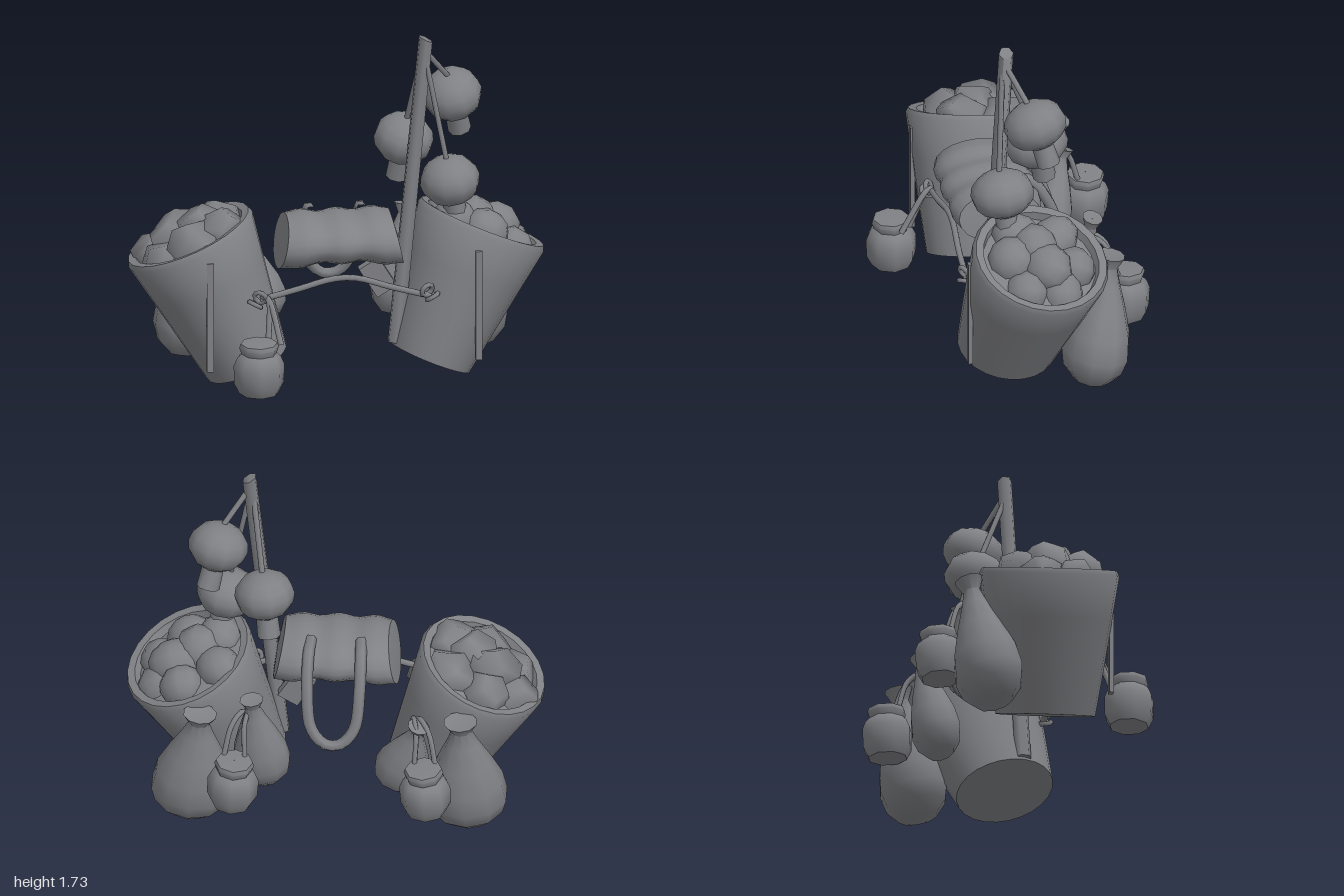
import * as THREE from 'three';
import { toCreasedNormals } from 'three/addons/utils/BufferGeometryUtils.js';

const V = (x, y, z) => new THREE.Vector3(x, y, z);

export function createModel() {
  const model = new THREE.Group();
  const grey = new THREE.MeshStandardMaterial({ color: 0x808185 });
  grey.name = 'clay grey';

  const add = (name, geo, parent = model) => {
    const mesh = new THREE.Mesh(geo, grey);
    mesh.name = name;
    parent.add(mesh);
    return mesh;
  };
  const lathe = (points, sides, crease = 0.9) =>
    toCreasedNormals(new THREE.LatheGeometry(points.map(p => new THREE.Vector2(...p)), sides), crease);
  const tube = (name, pts, r, segs = 8) =>
    add(name, new THREE.TubeGeometry(new THREE.CatmullRomCurve3(pts.map(p => V(...p))), segs, r, 6));
  // Stand a y-up object on point a, leaning towards b
  const lean = (obj, a, b) => {
    obj.position.set(...a);
    obj.quaternion.setFromUnitVectors(V(0, 1, 0), V(...b).sub(V(...a)).normalize());
    return obj;
  };

  // Basket: oval vessel with a thick rim and mounded filling, narrower at the foot
  const basketGeo = () => {
    const g = new THREE.LatheGeometry([[0.001, 0], [0.24, 0], [0.275, 0.23], [0.307, 0.46], [0.335, 0.67],
      [0.322, 0.695], [0.285, 0.69], [0.275, 0.65], [0.16, 0.68], [0.001, 0.69]].map(p => new THREE.Vector2(...p)), 24);
    const p = g.attributes.position;
    for (let i = 0; i < p.count; i++) {
      p.setX(i, p.getX(i) * THREE.MathUtils.lerp(0.86, 0.97, p.getY(i) / 0.69));
    }
    return toCreasedNormals(g, 0.8);
  };

  // Contents: x (outwards), y, z, radius, z stretch inside each basket
  const lumps = [
    [-0.15, 0.665, 0.10, 0.11, 1.1], [-0.15, 0.65, -0.09, 0.11, 1.2], [0.0, 0.665, 0.14, 0.12, 1.0],
    [0.05, 0.69, -0.02, 0.12, 1.2], [0.03, 0.66, -0.16, 0.11, 1.0], [0.16, 0.63, 0.08, 0.11, 1.0],
    [0.16, 0.63, -0.09, 0.11, 1.2], [-0.06, 0.69, 0.03, 0.12, 1.0],
  ];

  const sackProfile = [[0.001, 0], [0.09, 0.015], [0.145, 0.08], [0.165, 0.16], [0.152, 0.27],
    [0.11, 0.4], [0.065, 0.52], [0.04, 0.6], [0.068, 0.66], [0.001, 0.65]];
  const jarProfile = [[0.001, 0], [0.095, 0], [0.12, 0.05], [0.122, 0.14], [0.105, 0.18],
    [0.085, 0.2], [0.095, 0.23], [0.088, 0.25], [0.001, 0.255]];

  for (const s of [-1, 1]) {
    const side = s > 0 ? 'left' : 'right';
    const basket = new THREE.Group();
    basket.name = side + 'Basket';
    basket.position.set(s * 0.435, 0.1, s > 0 ? 0.105 : 0.06);
    basket.rotation.set(s > 0 ? -0.18 : -0.09, 0, -s * 0.403);
    model.add(basket);
    add('basketBody', basketGeo(), basket);
    lumps.forEach(([x, y, z, r, stretch], i) => {
      const geo = s > 0 ? new THREE.SphereGeometry(r, 9, 7)
        : toCreasedNormals(new THREE.DodecahedronGeometry(r * 1.15), 1.3);
      const lump = add('basketContents', geo, basket);
      lump.position.set(s * x, y, z);
      lump.scale.set(1, 0.95, stretch);
      lump.rotation.set(0.3 * i, 0.7 * i, 0);
    });

    // Upright strap on the basket front
    add(side + 'BasketStrap', new THREE.BoxGeometry(0.032, 0.55, 0.022)).position.set(s * 0.645, 0.43, 0.325);

    // Cord knot
    for (const [dx, dy, turn] of [[0, 0, 0.4], [0.025, -0.035, 1.3]]) {
      const knot = add(side + 'Knot', new THREE.TorusGeometry(0.03, 0.012, 6, 10));
      knot.position.set(s * (0.4 + dx), 0.51 + dy, 0.3);
      knot.rotation.set(turn, s * 0.5, 0);
    }

    // Large sack behind the basket
    const large = add(side + 'LargeSack', lathe(sackProfile, 10));
    large.scale.x = 1.2;
    lean(large, [s > 0 ? 0.685 : -0.655, s > 0 ? 0.005 : 0.02, -0.25], [s * 0.62, 0.67, -0.37]);

    // Hanging jar at the back with its cords
    lean(add(side + 'BackJar', lathe(jarProfile, 8)), [s * 0.465, 0.21, -0.465], [s * 0.45, 0.47, -0.475]);
    for (const d of [-0.05, 0.05]) {
      tube(side + 'BackJarCord', [[s * 0.38, 0.56, -0.24], [s * 0.41 + d * 0.3, 0.64, -0.32],
        [s * 0.44 + d * 0.6, 0.6, -0.38], [s * 0.455 + d, 0.45, -0.43]], 0.013, 12);
    }
  }

  // Small sacks between the baskets: foot, neck, scale
  for (const [foot, neck, scale] of [
    [[0.32, 0.19, -0.24], [0.38, 0.72, -0.33], [0.85, 0.82, 0.72]],
    [[-0.3, 0.2, -0.23], [-0.42, 0.62, -0.36], [0.8, 0.7, 0.72]],
  ]) {
    const sack = add('smallSack', lathe(sackProfile, 10));
    sack.scale.set(...scale);
    lean(sack, foot, neck);
  }

  // Front jar and cords
  add('frontJar', lathe(jarProfile, 8)).position.set(-0.43, 0.095, 0.475);
  for (const [x, z] of [[-0.32, 0.45], [-0.375, 0.4]]) {
    tube('frontJarCord', [[-0.39, 0.51, 0.29], [-0.365, 0.51, 0.32], [x, 0.32, z]], 0.014);
  }
  // Cord joining the two baskets under the blanket roll
  tube('joiningCord', [[-0.4, 0.495, 0.29], [-0.22, 0.54, 0.29], [-0.05, 0.58, 0.28], [0.06, 0.58, 0.28],
    [0.23, 0.53, 0.29], [0.42, 0.475, 0.29]], 0.015, 18);

  // Blanket roll: softly ribbed, arched cushion lying along x
  const roll = new THREE.CylinderGeometry(1, 1, 0.55, 20, 16);
  roll.rotateZ(Math.PI / 2);
  const rp = roll.attributes.position;
  for (let i = 0; i < rp.count; i++) {
    const x = rp.getX(i), y = rp.getY(i), z = rp.getZ(i);
    const rib = 0.008 * Math.cos(x * 34);
    const ends = (x / 0.28) ** 2;
    const bulge = 1 + 0.04 * (1 - y * y - z * z);
    rp.setXYZ(i, x * (1 - 0.1 * y) * bulge, 0.732 - 0.012 * ends + y * (0.112 + rib + 0.02 * ends),
      0.1 + z * (0.22 + rib - 0.015 * ends));
  }
  add('blanketRoll', toCreasedNormals(roll, 0.8));
  const flap = add('rollFlap', new THREE.BoxGeometry(0.11, 0.17, 0.05));
  flap.position.set(0.19, 0.51, 0.08);
  flap.rotation.z = 0.55;

  // Carrying loop drooping behind the roll
  tube('carryingLoop', [[-0.12, 0.83, 0.03], [-0.125, 0.81, -0.08], [-0.125, 0.68, -0.17], [-0.105, 0.5, -0.23],
    [-0.05, 0.425, -0.25], [0, 0.41, -0.255], [0.05, 0.425, -0.25], [0.105, 0.5, -0.23],
    [0.125, 0.68, -0.17], [0.125, 0.81, -0.08], [0.12, 0.83, 0.03]], 0.028, 36);

  // Pole with a slanted tip
  const poleGeo = new THREE.CylinderGeometry(0.036, 0.04, 1.52, 6);
  poleGeo.translate(0, 0.76, 0);
  const pp = poleGeo.attributes.position;
  for (let i = 0; i < pp.count; i++) if (pp.getY(i) > 1) pp.setY(i, pp.getY(i) - pp.getX(i) * 0.4);
  lean(add('pole', toCreasedNormals(poleGeo, 1.2)), [0.268, 0.2, 0.15], [0.42, 1.72, 0.1]);

  // Hanging mushrooms: cap centre, stem end, cord start
  const mushrooms = [
    [[0.56, 1.385, -0.01], [0.605, 1.18, -0.07], [0.425, 1.64, 0.1]],
    [[0.335, 1.15, -0.065], [0.31, 0.94, -0.11], [0.4, 1.62, 0.1]],
    [[0.53, 1.005, 0.143], [0.565, 0.8, 0.12], [0.42, 1.6, 0.12]],
  ];
  for (const [cap, foot, start] of mushrooms) {
    const mushroom = new THREE.Group();
    mushroom.name = 'hangingMushroom';
    model.add(mushroom);
    add('mushroomCap', new THREE.SphereGeometry(1, 10, 8), mushroom).scale.set(0.145, 0.12, 0.155);
    const stem = add('mushroomStem', toCreasedNormals(new THREE.CylinderGeometry(0.05, 0.056, 0.16, 8), 0.9), mushroom);
    stem.position.y = -0.135;
    lean(mushroom, cap, cap.map((c, k) => 2 * c - foot[k]));
    const top = cap.map((c, k) => c + (c - foot[k]) * 0.5);
    tube('mushroomCord', [start, top], 0.014, 2);
  }
  return model;
}
